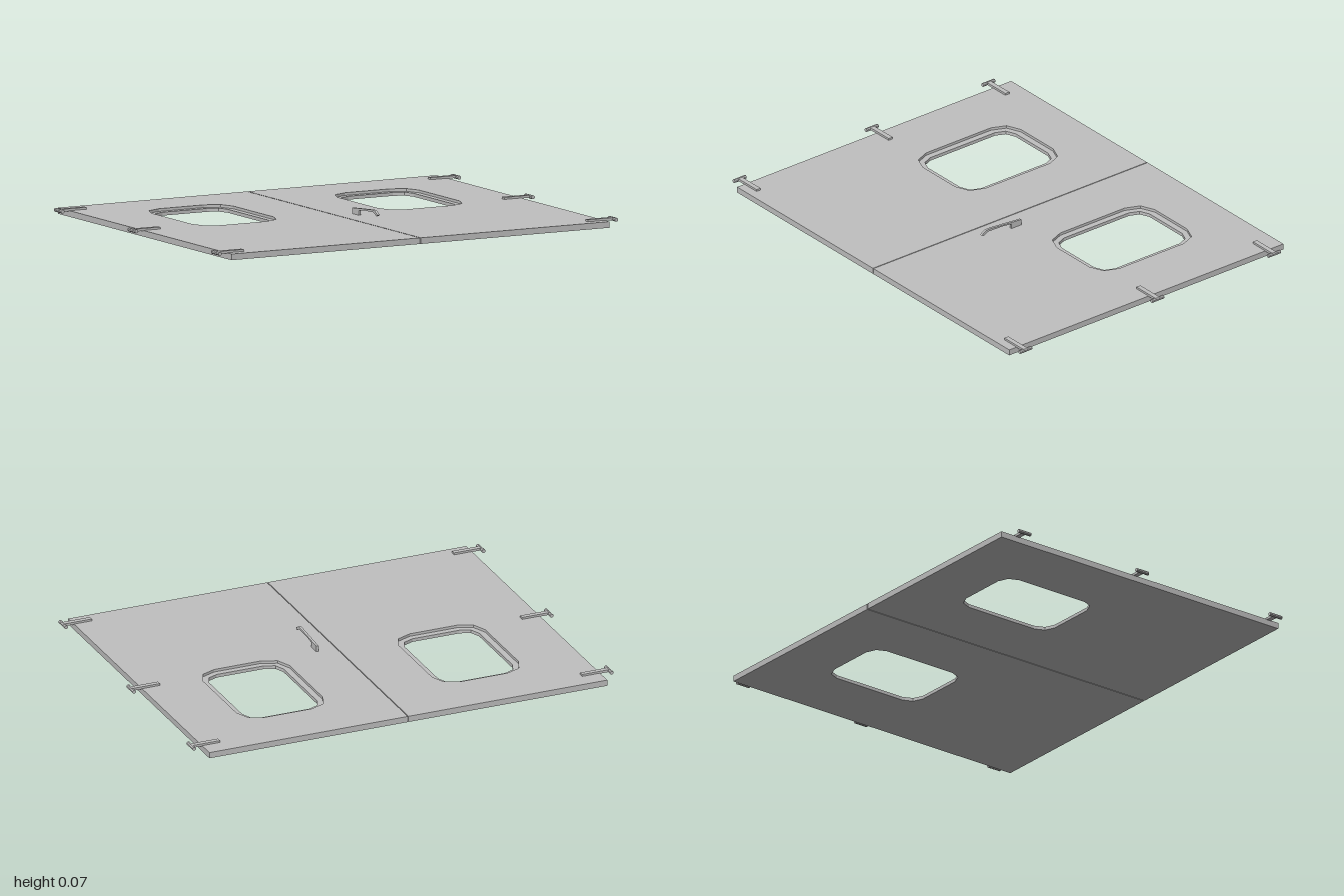
import * as THREE from 'three';

const metal = new THREE.MeshStandardMaterial({ color: 0xc0c0c0 });
metal.name = 'grey metal';

const TOP = 0.027, LEDGE = 0.015;

function add(group, name, geometry, x = 0, y = 0, z = 0) {
  const mesh = new THREE.Mesh(geometry, metal);
  mesh.name = name;
  mesh.position.set(x, y, z);
  group.add(mesh);
  return mesh;
}

// Rectangle with faceted corners, centred on (cx, cy)
function windowPath(cx, cy, hw, hh, r) {
  const pts = [];
  for (const [sx, sy, a0] of [[1, 1, 0], [-1, 1, 1], [-1, -1, 2], [1, -1, 3]]) {
    for (let i = 0; i <= 2; i++) {
      const a = (a0 + i / 2) * Math.PI / 2;
      pts.push(new THREE.Vector2(
        cx + sx * (hw - r) + r * Math.cos(a),
        cy + sy * (hh - r) + r * Math.sin(a)));
    }
  }
  return new THREE.Path(pts);
}

// One flat layer of a door leaf with a window hole widened by "grow"
function leafLayer(s, y0, y1, grow) {
  const a = s * 0.002, b = s * 0.945, h = 0.765;
  const shape = new THREE.Shape([[a, -h], [b, -h], [b, h], [a, h]].map(p => new THREE.Vector2(...p)));
  shape.holes.push(windowPath(s * 0.465, 0.25, 0.177 + grow, 0.245 + grow, 0.065 + grow));
  const g = new THREE.ExtrudeGeometry(shape, { depth: y1 - y0, bevelEnabled: false });
  g.rotateX(-Math.PI / 2);
  g.translate(0, y0, 0);
  return g;
}

// Strap hinge with three knuckles
function hinge(s, z) {
  const g = new THREE.Group();
  g.name = 'hinge';
  add(g, 'hingeStrap', new THREE.BoxGeometry(0.13, 0.011, 0.022), s * 0.925, 0.0305, z);
  for (let i = -1; i <= 1; i++) {
    const knuckle = new THREE.CylinderGeometry(0.0085, 0.0085, 0.021, 8);
    knuckle.rotateY(Math.PI / 8);
    knuckle.rotateX(Math.PI / 2);
    add(g, 'hingeKnuckle', knuckle.toNonIndexed(), s * 0.9915, 0.029, z + i * 0.0225).geometry.computeVertexNormals();
  }
  add(g, 'hingePin', new THREE.CylinderGeometry(0.006, 0.006, 0.062, 8).rotateX(Math.PI / 2), s * 0.9915, 0.029, z);
  return g;
}

// Lever handle: side profile given as (z, y), extruded across x
function handle() {
  const profile = [[0.015, 0.025], [0.07, 0.025], [0.07, 0.049], [0.12, 0.055], [0.2, 0.057],
    [0.225, 0.043], [0.237, 0.05], [0.21, 0.066], [0.19, 0.067], [0.1, 0.06], [0.015, 0.053]];
  const shape = new THREE.Shape(profile.map(([z, y]) => new THREE.Vector2(-z, y)));
  const g = new THREE.ExtrudeGeometry(shape, { depth: 0.011, bevelEnabled: false });
  g.rotateY(Math.PI / 2);
  return g;
}

export function createModel() {
  const model = new THREE.Group();
  model.name = 'doubleDoor';
  for (const s of [-1, 1]) {
    const leaf = new THREE.Group();
    leaf.name = s > 0 ? 'leftDoor' : 'rightDoor';
    add(leaf, 'doorBase', leafLayer(s, 0, LEDGE, 0));
    // upper layer leaves a stepped ledge around the window
    add(leaf, 'doorFace', leafLayer(s, LEDGE, TOP, 0.028));
    for (const z of [-0.675, -0.024, 0.713]) leaf.add(hinge(s, z));
    model.add(leaf);
  }
  add(model, 'handle', handle(), 0.085, 0, 0);
  return model;
}
